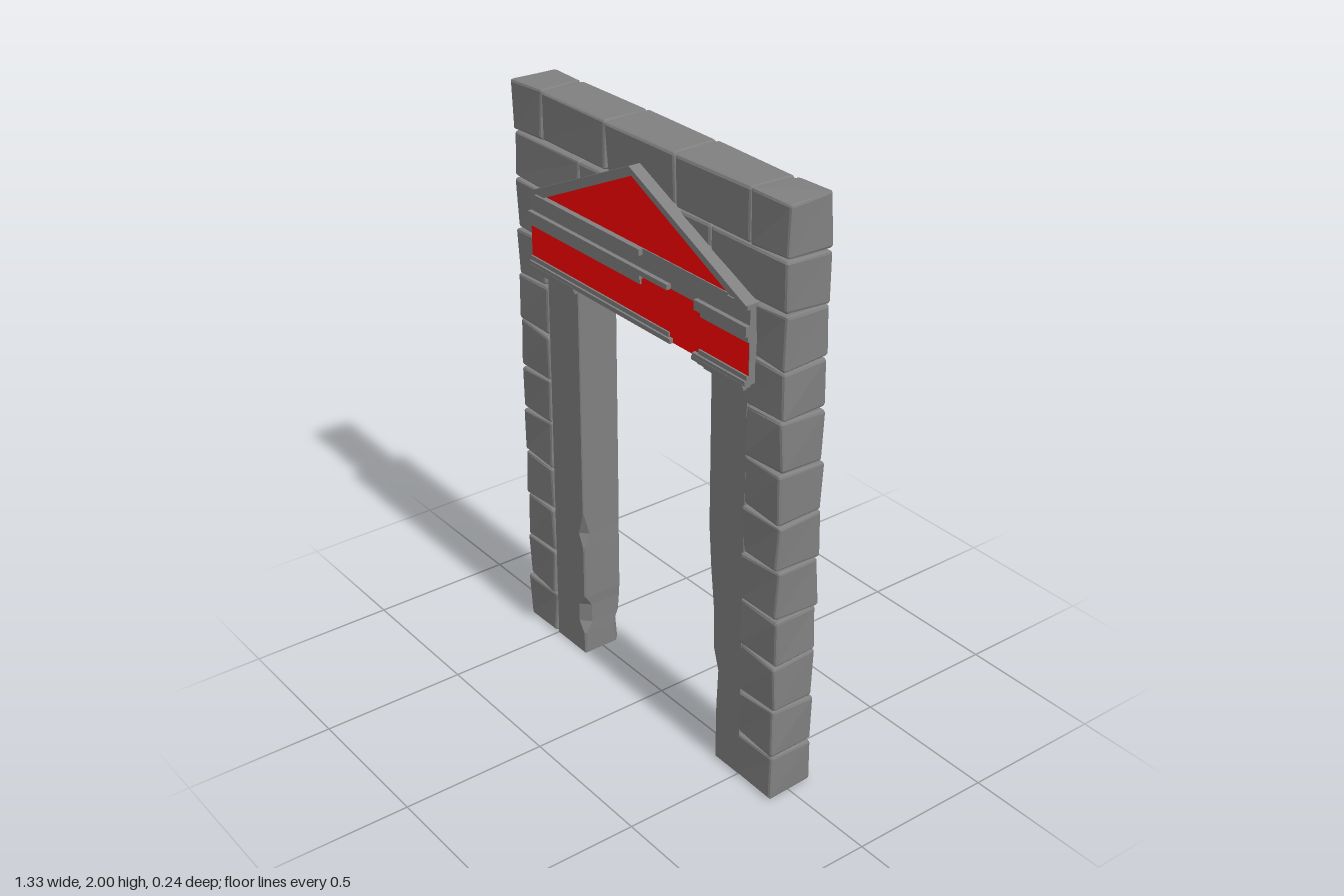
import * as THREE from 'three';
import { RoundedBoxGeometry } from 'three/addons/geometries/RoundedBoxGeometry.js';

const grey = new THREE.MeshStandardMaterial({ color: 0x808080, flatShading: true });
const red = new THREE.MeshStandardMaterial({ color: 0xff0000, flatShading: true });

function add(parent, name, geometry, material = grey) {
  const mesh = new THREE.Mesh(geometry, material);
  mesh.name = name;
  parent.add(mesh);
  return mesh;
}

// Box given by its limits
function block(x0, x1, y0, y1, z0, z1) {
  return new THREE.BoxGeometry(x1 - x0, y1 - y0, z1 - z0)
    .translate((x0 + x1) / 2, (y0 + y1) / 2, (z0 + z1) / 2);
}

// Rough hewn stone: bevelled box, skewed a little by a smooth rule
function stone(x0, x1, y0, y1, seed) {
  const g = new RoundedBoxGeometry(x1 - x0 - 0.005, y1 - y0 - 0.005, 0.162, 1, 0.009);
  g.translate((x0 + x1) / 2, (y0 + y1) / 2, 0);
  const p = g.attributes.position;
  for (let i = 0; i < p.count; i++) {
    const x = p.getX(i), y = p.getY(i), z = p.getZ(i);
    const wave = (k) => 0.004 * Math.sin(seed * 7.3 * k + x * 23 + y * 31 * k + z * 17);
    p.setXYZ(i,
      THREE.MathUtils.clamp(x + wave(1), -0.667, 0.667),
      THREE.MathUtils.clamp(y + wave(1.7), 0, 2),
      z + wave(2.3));
  }
  g.computeVertexNormals();
  return g;
}

// Pillar lofted through sections [y, inner x, front chamfer, back chamfer]
function pillar(side, outer, sections) {
  const d = 0.075, pos = [], idx = [], n = 6;
  for (const [y, inner, cf, cb] of sections) {
    const ring = [[outer, d], [inner + cf, d], [inner, d - cf],
      [inner, -d + cb], [inner + cb, -d], [outer, -d]];
    for (const [x, z] of ring) pos.push(side * x, y, z);
  }
  const tri = (a, b, c) => (side > 0 ? idx.push(a, b, c) : idx.push(a, c, b));
  for (let r = 0; r < sections.length - 1; r++) {
    for (let k = 0; k < n; k++) {
      const a = r * n + k, b = r * n + (k + 1) % n;
      tri(b, a, a + n);
      tri(b, a + n, b + n);
    }
  }
  for (let k = 1; k < n - 1; k++) tri(0, k, k + 1);
  const g = new THREE.BufferGeometry();
  g.setAttribute('position', new THREE.Float32BufferAttribute(pos, 3));
  g.setIndex(idx);
  const flat = g.toNonIndexed();
  flat.computeVertexNormals();
  return flat;
}

// Upright outline extruded evenly to both faces
function slab(points, halfDepth) {
  const shape = new THREE.Shape(points.map(([x, y]) => new THREE.Vector2(x, y)));
  return new THREE.ExtrudeGeometry(shape, { depth: 2 * halfDepth, bevelEnabled: false })
    .translate(0, 0, -halfDepth);
}

// Gable band between an outer and an inner triangle
function rake(outerX, outerY, innerX, innerY, halfDepth) {
  return slab([[-outerX, 1.67], [-innerX, 1.67], [0, innerY], [innerX, 1.67],
    [outerX, 1.67], [0, outerY]], halfDepth);
}

export function createModel() {
  const model = new THREE.Group();
  model.name = 'stoneGateway';

  // Stone surround: two side stacks and two courses over the top
  const stones = new THREE.Group();
  stones.name = 'stoneSurround';
  model.add(stones);
  const rows = [0, 0.165, 0.335, 0.505, 0.67, 0.84, 1.0, 1.17, 1.34, 1.5, 1.67];
  let seed = 1;
  for (let r = 0; r < rows.length - 1; r++) {
    add(stones, 'sideStone', stone(-0.667, -0.5, rows[r], rows[r + 1], seed++));
    add(stones, 'sideStone', stone(0.495, 0.667, rows[r], rows[r + 1], seed++));
  }
  const courses = [
    [1.67, 1.833, [-0.667, -0.31, 0, 0.33, 0.667]],
    [1.833, 2.002, [-0.667, -0.505, -0.17, 0.165, 0.505, 0.667]],
  ];
  for (const [y0, y1, xs] of courses) {
    for (let i = 0; i < xs.length - 1; i++) {
      add(stones, 'topStone', stone(xs[i], xs[i + 1], y0, y1, seed++));
    }
  }

  // Worn pillars
  add(model, 'rightPillar', pillar(-1, 0.5, [
    [0, 0.337, 0.004, 0.02], [0.08, 0.337, 0.006, 0.03], [0.12, 0.338, 0.032, 0.012],
    [0.19, 0.338, 0.03, 0.004], [0.23, 0.335, 0.004, 0.004], [0.43, 0.335, 0.004, 0.004],
    [0.48, 0.336, 0.026, 0.004], [0.56, 0.335, 0.003, 0.003], [1.4, 0.335, 0.003, 0.003],
  ]));
  add(model, 'leftPillar', pillar(1, 0.5, [
    [0, 0.38, 0.004, 0.03], [0.2, 0.375, 0.01, 0.035], [0.34, 0.367, 0.025, 0.035],
    [0.42, 0.362, 0.006, 0.04], [0.55, 0.352, 0.015, 0.045], [0.7, 0.338, 0.012, 0.02],
    [0.85, 0.335, 0.003, 0.003], [1.4, 0.335, 0.003, 0.003],
  ]));

  // Stepped capitals
  for (const s of [-1, 1]) {
    const capital = new THREE.Group();
    capital.name = s > 0 ? 'leftCapital' : 'rightCapital';
    model.add(capital);
    for (const [inner, outer, y0, y1, z] of [
      [0.325, 0.505, 1.385, 1.4, 0.095],
      [0.31, 0.52, 1.4, 1.412, 0.108],
      [0.297, 0.53, 1.412, 1.424, 0.12],
    ]) {
      const [a, b] = s > 0 ? [inner, outer] : [-outer, -inner];
      add(capital, 'capitalStep', block(a, b, y0, y1, -z, z));
    }
  }

  // Lintel core with a coloured frieze on each face
  add(model, 'lintel', block(-0.54, 0.54, 1.42, 1.67, -0.104, 0.104));
  for (const s of [-1, 1]) {
    const frieze = add(model, 'frieze', new THREE.PlaneGeometry(1.08, 0.17), red);
    frieze.position.set(0, 1.505, s * 0.106);
    frieze.rotation.y = s > 0 ? 0 : Math.PI;
  }

  // Mouldings [x0, x1, y0, y1, z], broken on the front
  const front = [
    [-0.54, 0.195, 1.42, 1.435, 0.119], [-0.54, 0.18, 1.435, 1.45, 0.112],
    [0.3, 0.54, 1.42, 1.435, 0.119], [0.32, 0.54, 1.435, 1.45, 0.112],
    [-0.54, 0.04, 1.555, 1.573, 0.111], [-0.54, 0.045, 1.573, 1.605, 0.119],
    [0.045, 0.18, 1.588, 1.605, 0.119],
    [0.325, 0.54, 1.555, 1.573, 0.111], [0.305, 0.54, 1.573, 1.605, 0.119],
    [-0.54, 0.045, 1.65, 1.67, 0.119], [0.45, 0.54, 1.655, 1.67, 0.115],
  ];
  const back = [
    [-0.54, 0.54, 1.42, 1.435, 0.122], [-0.54, 0.54, 1.435, 1.45, 0.112],
    [-0.54, 0.54, 1.555, 1.573, 0.111], [-0.54, 0.54, 1.573, 1.605, 0.122],
    [-0.04, 0.54, 1.65, 1.67, 0.122],
  ];
  for (const [x0, x1, y0, y1, z] of front) {
    add(model, 'frontMoulding', block(x0, x1, y0, y1, 0.09, z));
  }
  for (const [x0, x1, y0, y1, z] of back) {
    add(model, 'backMoulding', block(x0, x1, y0, y1, -z, -0.09));
  }

  // Gable: coloured field framed by a two-step band
  add(model, 'gableField', slab([[-0.49, 1.67], [0.49, 1.67], [0, 1.893]], 0.1), red);
  add(model, 'gableInnerBand', rake(0.53, 1.91, 0.46, 1.885, 0.111));
  add(model, 'gableOuterBand', rake(0.54, 1.917, 0.5, 1.9, 0.12));
  return model;
}
